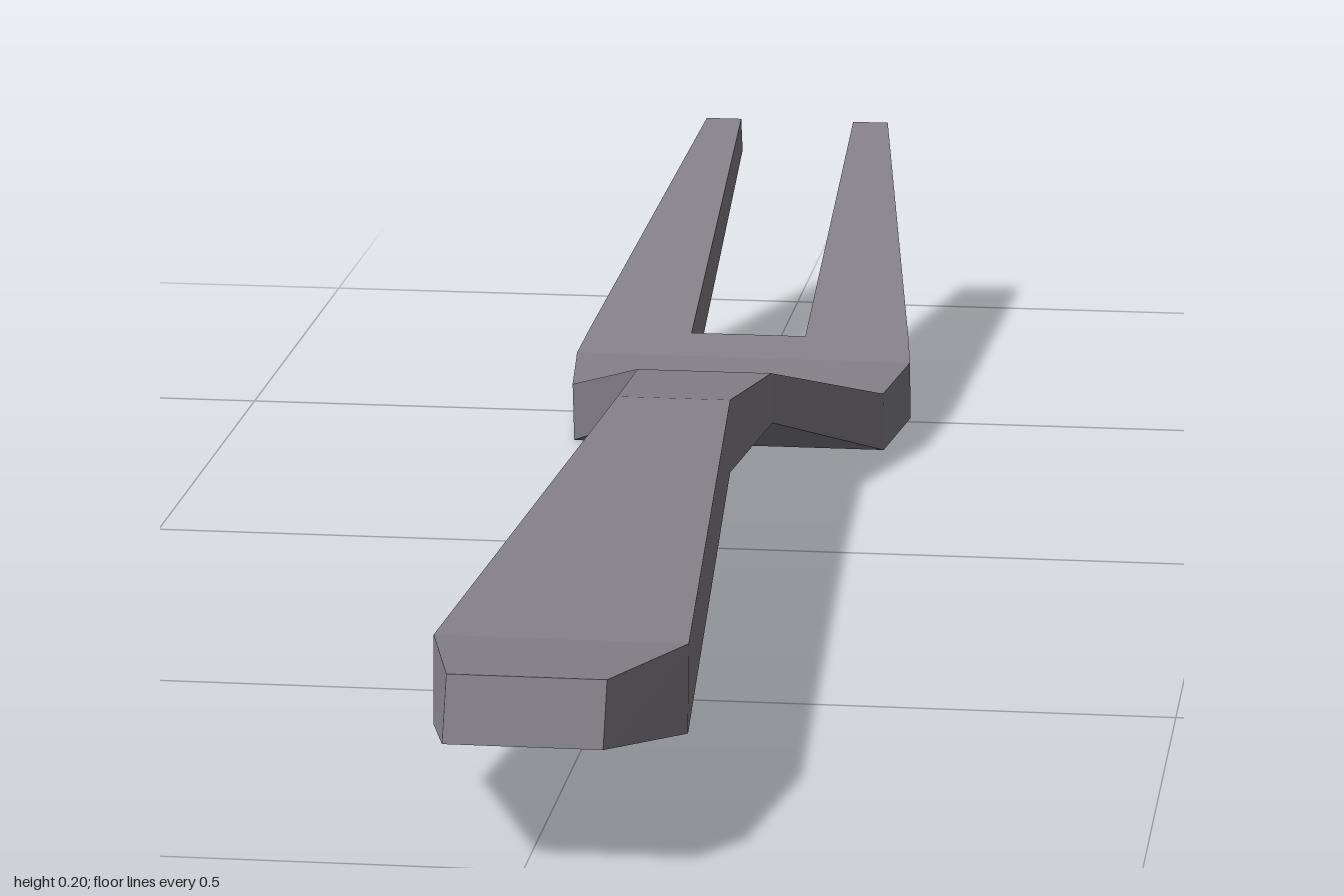
import * as THREE from 'three';

// One cross-section: x range, then z and y of its top and bottom edges
const section = (x0, x1, zt, yt, zb, yb) => [[x0, yt, zt], [x0, yb, zb], [x1, yb, zb], [x1, yt, zt]];

function quadGeometry(quads) {
  const pos = [];
  for (const [a, b, c, d] of quads) pos.push(...a, ...b, ...c, ...a, ...c, ...d);
  const g = new THREE.BufferGeometry();
  g.setAttribute('position', new THREE.Float32BufferAttribute(pos, 3));
  g.computeVertexNormals();
  return g;
}

// Faceted bar through sections ordered from front (+z) to back (-z)
function loft(sections, capFront, capBack) {
  const quads = [];
  for (let s = 0; s < sections.length - 1; s++) {
    const p = sections[s], q = sections[s + 1];
    for (let i = 0; i < 4; i++) {
      const j = (i + 1) % 4;
      quads.push([p[i], q[i], q[j], p[j]]);
    }
  }
  if (capFront) quads.push(sections[0]);
  if (capBack) quads.push([...sections[sections.length - 1]].reverse());
  return quadGeometry(quads);
}

export function createModel() {
  const group = new THREE.Group();
  group.name = 'carvingFork';
  const metal = new THREE.MeshStandardMaterial({ color: 0x858288, flatShading: true });
  metal.name = 'grey metal';
  const add = (name, geometry) => {
    const mesh = new THREE.Mesh(geometry, metal);
    mesh.name = name;
    group.add(mesh);
  };
  const wide = (w, ...edges) => section(-w, w, ...edges);

  // Shared outline where the slot begins
  const crotch = [-0.55, 0.073, -0.563, 0.016];
  const neck = wide(0.053, 0.04, 0.155, 0.04, 0.085);

  // Handle, widening towards the bevelled end
  add('handle', loft([
    wide(0.066, 0.975, 0.157, 1.0, 0.105),
    wide(0.108, 0.78, 0.133, 0.785, 0.056),
    neck,
  ], true, false));

  // Neck and flared head
  add('head', loft([
    neck,
    wide(0.065, -0.19, 0.124, -0.2, 0.072),
    wide(0.155, -0.375, 0.06, -0.385, 0),
    wide(0.169, -0.505, 0.06, -0.515, 0),
    wide(0.163, ...crotch),
  ], false, false));

  // End wall of the slot between the tines
  add('slotWall', quadGeometry([wide(0.058, ...crotch).reverse()]));

  // Two tapering tines
  const tip = [-0.987, 0.202, -1.0, 0.165];
  for (const [name, side] of [['leftTine', 1], ['rightTine', -1]]) {
    const span = (inner, outer) => side > 0 ? [inner, outer] : [-outer, -inner];
    add(name, loft([
      section(...span(0.058, 0.163), ...crotch),
      section(...span(0.06, 0.097), ...tip),
    ], false, true));
  }
  return group;
}
